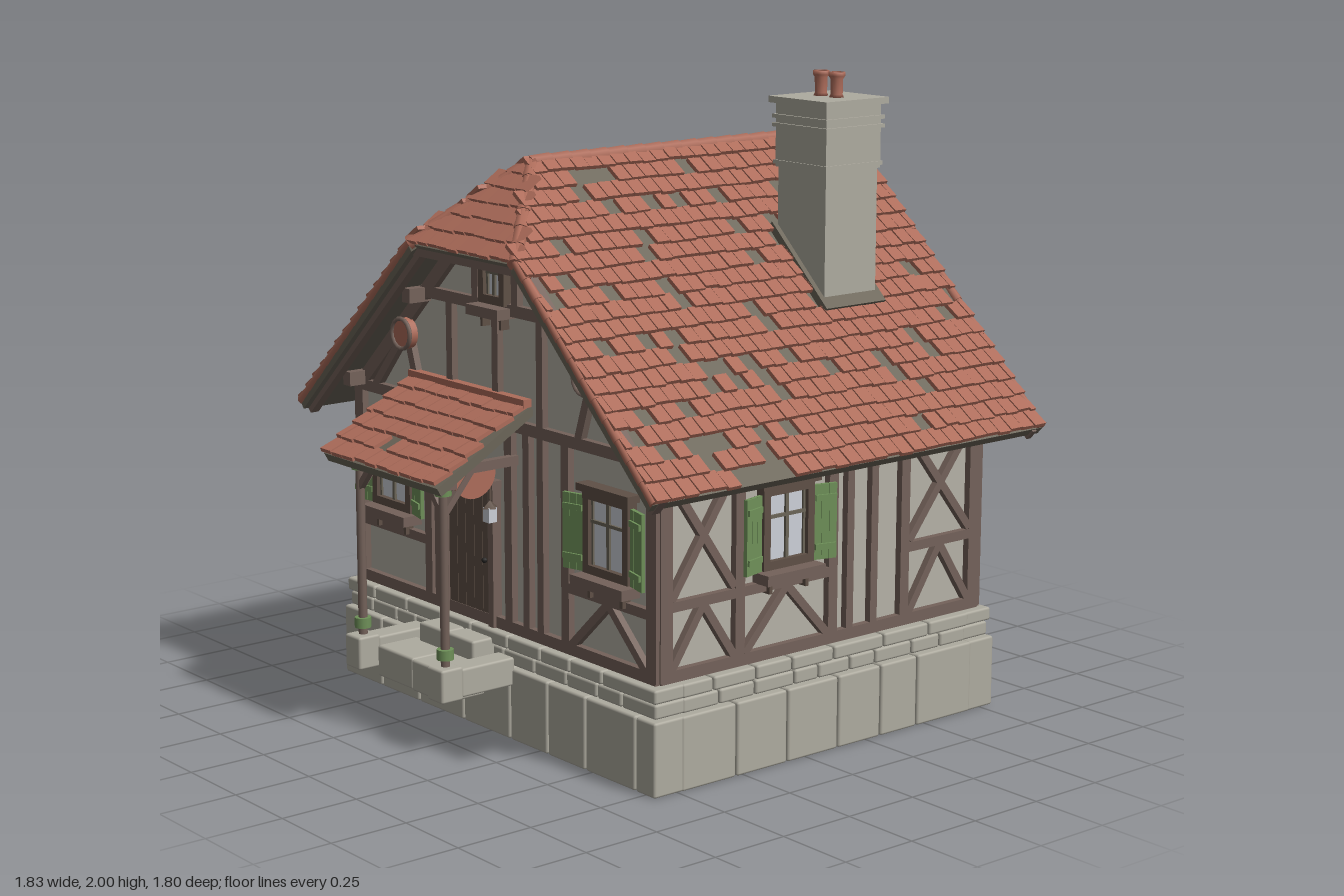
import * as THREE from 'three';
import { mergeGeometries } from 'three/addons/utils/BufferGeometryUtils.js';
import { RoundedBoxGeometry } from 'three/addons/geometries/RoundedBoxGeometry.js';

const paint = (name, color, side = THREE.FrontSide) => {
  const m = new THREE.MeshStandardMaterial({ color, side });
  m.name = name;
  return m;
};
const V = (x, y, z) => new THREE.Vector3(x, y, z);

export function createModel() {
  const tile = paint('clay tile', 0xad6c5a);
  const deckMat = paint('roof boards', 0x6b6558);
  const wood = paint('timber', 0x74625a);
  const darkWood = paint('dark wood', 0x5f5046);
  const plaster = paint('plaster', 0xb5b1a6);
  const stone = paint('stone', 0xaeab9f);
  const glass = paint('glass', 0xcdd0d8);
  const green = paint('green paint', 0x6f9159);
  const black = paint('shadow black', 0x252423, THREE.DoubleSide);

  const house = new THREE.Group();
  house.name = 'cottage';
  let seed = 7;
  const rnd = () => (seed = (seed * 16807) % 2147483647) / 2147483647;

  const add = (parent, name, geo, mat, x = 0, y = 0, z = 0) => {
    const m = new THREE.Mesh(geo, mat);
    m.name = name;
    m.position.set(x, y, z);
    parent.add(m);
    return m;
  };
  const box = (parent, name, mat, w, h, d, x, y, z) =>
    add(parent, name, new THREE.BoxGeometry(w, h, d), mat, x, y, z);
  const group = (parent, name, x = 0, y = 0, z = 0, ry = 0) => {
    const g = new THREE.Group();
    g.name = name;
    g.position.set(x, y, z);
    g.rotation.y = ry;
    parent.add(g);
    return g;
  };
  // Flat beam in a facade plane between two points
  const beam = (parent, name, mat, [x1, y1, x2, y2, w = 0.036], d = 0.034, z = 0.005) => {
    const m = box(parent, name, mat, Math.hypot(x2 - x1, y2 - y1), w, d, (x1 + x2) / 2, (y1 + y2) / 2, z);
    m.rotation.z = Math.atan2(y2 - y1, x2 - x1);
    return m;
  };
  const polygon = pts => new THREE.Shape(pts.map(p => new THREE.Vector2(...p)));
  const extrude = (pts, depth) => new THREE.ExtrudeGeometry(polygon(pts), { depth, bevelEnabled: false });

  // Stone foundation: rings of blocks, hollow underneath
  const ZC = -0.105;
  const course = (y0, y1, hx, hz, depth, size) => {
    const blocks = [];
    const run = (half, place) => {
      const cuts = [-half];
      while (half - cuts.at(-1) > size * 1.6) cuts.push(cuts.at(-1) + size * (0.75 + rnd() * 0.5));
      cuts.push(half);
      for (let i = 1; i < cuts.length; i++) place((cuts[i] + cuts[i - 1]) / 2, cuts[i] - cuts[i - 1] - 0.005);
    };
    const block = (w, d, x, z) => blocks.push(
      new RoundedBoxGeometry(w, y1 - y0 - 0.003, d, 1, 0.008).translate(x, (y0 + y1) / 2, z));
    for (const s of [-1, 1]) {
      run(hx, (c, w) => { const d = depth + rnd() * 0.03; block(w, d, c, ZC + s * (hz - d / 2)); });
      run(hz - depth, (c, w) => { const d = depth + rnd() * 0.03; block(d, w, s * (hx - d / 2), ZC + c); });
    }
    add(house, 'foundationStones', mergeGeometries(blocks), stone);
  };
  course(0, 0.23, 0.8, 0.695, 0.1, 0.2);
  course(0.23, 0.278, 0.785, 0.68, 0.1, 0.13);
  course(0.278, 0.324, 0.792, 0.687, 0.1, 0.17);
  box(house, 'floorUnderside', black, 1.46, 0.006, 1.25, 0, 0.293, ZC);

  // Plastered walls, with the back gable rising to the ridge
  add(house, 'walls', extrude([[-0.745, 0.3], [0.745, 0.3], [0.745, 0.997], [0.159, 1.55], [-0.159, 1.55], [-0.745, 0.997]], 1.28), plaster, 0, 0, -0.745);
  add(house, 'backGableTop', extrude([[-0.159, 1.55], [0.159, 1.55], [0, 1.7]], 0.2), plaster, 0, 0, -0.745);

  // Window with frame, glazing bars, flower box and optional shutters
  const windowUnit = (wall, x, y, w = 0.21, h = 0.25, shutters = true) => {
    const g = group(wall, 'window', x, y, 0);
    box(g, 'glass', glass, w - 0.03, h - 0.03, 0.008, 0, 0, 0.012);
    for (const s of [-1, 1]) {
      box(g, 'windowJamb', darkWood, 0.026, h, 0.04, s * (w / 2 - 0.013), 0, 0.014);
      box(g, 'sashSide', deckMat, 0.008, h - 0.05, 0.012, s * (w / 2 - 0.031), 0, 0.016);
      box(g, 'windowRail', darkWood, w, 0.026, 0.04, 0, s * (h / 2 - 0.013), 0.014);
    }
    box(g, 'mullion', deckMat, 0.012, h - 0.04, 0.014, 0, 0, 0.017);
    box(g, 'glazingBar', deckMat, w - 0.04, 0.01, 0.014, 0, h * 0.13, 0.017);
    box(g, 'windowHood', darkWood, w + 0.03, 0.022, 0.055, 0, h / 2 + 0.008, 0.02);
    box(g, 'flowerBox', wood, w + 0.03, 0.032, 0.07, 0, -h / 2 - 0.02, 0.035);
    for (const s of [-1, 1]) {
      box(g, 'boxBracket', darkWood, 0.012, 0.045, 0.03, s * w * 0.36, -h / 2 - 0.05, 0.02);
      if (!shutters) continue;
      const leaf = group(g, 'shutter', s * (w / 2 + 0.004), -0.01, 0.022, -s * 0.25);
      for (let i = 0; i < 3; i++) box(leaf, 'shutterBoard', green, 0.025, h - 0.02, 0.012, s * (0.013 + i * 0.026), 0, 0);
      for (const k of [-1, 1]) box(leaf, 'shutterBatten', green, 0.07, 0.018, 0.008, s * 0.039, k * h * 0.3, 0.009);
    }
  };

  const timber = (wall, list) => list.forEach(b => beam(wall, 'timber', wood, b));
  const peak = (x1, x2, y1, y2) => [[x1, y1, (x1 + x2) / 2, y2, 0.026], [(x1 + x2) / 2, y2, x2, y1, 0.026]];
  const cross = (x1, x2, y1, y2) => [[x1, y1, x2, y2, 0.026], [x1, y2, x2, y1, 0.026]];
  const post = (x, y1, y2, w) => [x, y1, x, y2, w];
  const rail = (y, x1, x2, w) => [x1, y, x2, y, w];
  const rakes = top => [-1, 1].map(s => [s * 0.74, 0.97, s * (1.67 - top) / 0.944, top, 0.045]);

  // Front timber frame
  const front = group(house, 'frontWall', 0, 0, 0.535);
  timber(front, [rail(0.343, -0.76, 0.76), rail(0.975, -0.76, 0.76), rail(1.325, -0.38, 0.38), ...rakes(1.5),
    post(-0.74, 0.33, 1, 0.045), post(0.74, 0.33, 1, 0.045), post(-0.36, 0.34, 0.97), post(-0.31, 0.34, 0.97, 0.03),
    post(0.06, 0.34, 0.97), post(0.15, 0.34, 0.97, 0.03), post(0.22, 0.34, 0.97, 0.03), post(0.34, 0.34, 0.97),
    post(-0.235, 0.98, 1.32, 0.03), post(0, 0.98, 1.32, 0.03), post(0.22, 0.98, 1.32, 0.03), post(-0.1, 1.32, 1.5, 0.03), post(0.1, 1.32, 1.5, 0.03),
    rail(0.53, 0.34, 0.74, 0.03), rail(0.53, -0.74, -0.36, 0.03), ...peak(0.36, 0.72, 0.35, 0.52),
    [-0.65, 0.98, -0.52, 1.13, 0.028], [0.65, 0.98, 0.52, 1.13, 0.028], [-0.4, 0.98, -0.46, 1.16, 0.03], [0.4, 0.98, 0.46, 1.16, 0.03]]);
  windowUnit(front, -0.548, 0.725);
  windowUnit(front, 0.545, 0.725);
  windowUnit(front, 0, 1.41, 0.13, 0.15, false);
  for (const s of [-1, 1]) {
    const disc = add(front, 'roundOrnament', new THREE.CylinderGeometry(0.05, 0.05, 0.03, 16), tile, s * 0.46, 1.18, 0.03);
    disc.rotation.x = Math.PI / 2;
    add(front, 'ornamentRim', new THREE.TorusGeometry(0.048, 0.007, 6, 16), wood, s * 0.46, 1.18, 0.045);
  }

  // Door
  for (let i = 0; i < 5; i++) box(front, 'doorPlank', darkWood, 0.042, 0.43, 0.016, -0.228 + i * 0.044, 0.545, 0.012);
  for (const x of [-0.262, -0.018]) box(front, 'doorJamb', wood, 0.026, 0.45, 0.04, x, 0.55, 0.012);
  box(front, 'doorLintel', wood, 0.28, 0.026, 0.045, -0.14, 0.775, 0.014);
  add(front, 'doorKnob', new THREE.SphereGeometry(0.009, 8, 6), black, -0.055, 0.53, 0.028);

  // Back timber frame
  const back = group(house, 'backWall', 0, 0, -0.745, Math.PI);
  timber(back, [rail(0.343, -0.76, 0.76), rail(0.975, -0.76, 0.76), rail(1.3, -0.38, 0.38), rail(0.56, -0.74, -0.36, 0.03), rail(0.56, 0.36, 0.74, 0.03),
    ...rakes(1.66), post(-0.74, 0.33, 1, 0.045), post(0.74, 0.33, 1, 0.045), post(-0.36, 0.34, 0.97), post(0.02, 0.34, 0.97), post(0.38, 0.34, 0.97),
    post(-0.24, 0.98, 1.3, 0.03), post(0, 0.98, 1.3, 0.03), post(0.24, 0.98, 1.3, 0.03), post(-0.1, 1.3, 1.55, 0.03), post(0.1, 1.3, 1.55, 0.03),
    [-0.72, 0.58, -0.4, 0.95, 0.028], [0.72, 0.58, 0.4, 0.95, 0.028], ...peak(-0.72, -0.38, 0.35, 0.55), ...peak(0.4, 0.72, 0.35, 0.55)]);
  windowUnit(back, -0.18, 0.74);
  windowUnit(back, 0, 1.42, 0.12, 0.15, false);

  // Side timber frames
  const right = group(house, 'rightWall', 0.745, 0, 0, Math.PI / 2);
  timber(right, [rail(0.343, -0.54, 0.75), rail(0.95, -0.54, 0.75), post(-0.52, 0.33, 0.97, 0.045), post(0.73, 0.33, 0.97, 0.045),
    post(-0.24, 0.34, 0.95), post(0.13, 0.34, 0.95), post(0.2, 0.34, 0.95, 0.028), post(0.3, 0.34, 0.95, 0.028), post(0.43, 0.34, 0.95),
    rail(0.55, -0.52, 0.13, 0.03), rail(0.57, 0.43, 0.73, 0.03), ...cross(-0.5, -0.26, 0.57, 0.92), ...cross(0.45, 0.71, 0.59, 0.92),
    ...peak(-0.5, -0.26, 0.36, 0.54), ...peak(-0.22, 0.11, 0.36, 0.54), ...peak(0.45, 0.71, 0.36, 0.56)]);
  windowUnit(right, -0.06, 0.725, 0.2);
  const left = group(house, 'leftWall', -0.745, 0, 0, -Math.PI / 2);
  timber(left, [rail(0.343, -0.75, 0.54), rail(0.95, -0.75, 0.54), rail(0.55, -0.73, 0.52, 0.03),
    ...[-0.73, -0.5, -0.1, 0.32, 0.52].map(x => post(x, 0.34, 0.95, 0.038)), ...cross(-0.71, -0.52, 0.57, 0.92),
    ...peak(-0.71, -0.52, 0.36, 0.54), ...peak(-0.48, -0.12, 0.36, 0.54), ...peak(-0.08, 0.3, 0.36, 0.54), ...peak(0.34, 0.5, 0.36, 0.54)]);
  windowUnit(left, -0.3, 0.725, 0.2);
  windowUnit(left, 0.11, 0.725, 0.2);

  // Sloped roof plane: board deck plus overlapping rows of tiles
  const roofPlane = (name, origin, u, v, outline, W, rows, cols, keep) => {
    const L = v.length(), up = v.clone().normalize();
    const g = group(house, name);
    g.applyMatrix4(new THREE.Matrix4().makeBasis(u, up, u.clone().cross(up)).setPosition(origin));
    add(g, 'roofDeck', extrude(outline, 0.03), deckMat, 0, 0, -0.035);
    const tiles = [], step = L / rows, w = W / cols;
    for (let r = 0; r < rows; r++) for (let c = 0; c < cols + r % 2; c++) {
      let x0 = (c - (r % 2) / 2) * w, x1 = Math.min(x0 + w, W);
      x0 = Math.max(x0, 0);
      const x = (x0 + x1) / 2, y = (r + 0.5) * step;
      if (!keep(x, y)) continue;
      tiles.push(new THREE.BoxGeometry(x1 - x0 - 0.004, step * 1.08, 0.013).rotateX(-0.17)
        .rotateZ((rnd() - 0.5) * 0.05).translate(x, y + (rnd() - 0.5) * 0.008, 0.005 + rnd() * 0.003));
    }
    add(g, 'roofTiles', mergeGeometries(tiles), tile);
  };
  const W = 1.57, L = Math.hypot(0.9, 0.85), HV = L * 0.694;
  const hipCut = y => Math.max(0, 0.27 * (y - HV) / (L - HV)) - 0.012;
  roofPlane('rightRoof', V(0.9, 0.91, 0.68), V(0, 0, -1), V(-0.9, 0.85, 0),
    [[0, 0], [W, 0], [W, L], [0.27, L], [0, HV]], W, 20, 30, (x, y) => x > hipCut(y) && rnd() > 0.13);
  roofPlane('leftRoof', V(-0.9, 0.91, -0.89), V(0, 0, 1), V(0.9, 0.85, 0),
    [[0, 0], [W, 0], [W, HV], [W - 0.27, L], [0, L]], W, 20, 30, (x, y) => W - x > hipCut(y) && rnd() > 0.012);
  const HL = Math.hypot(0.26, 0.27);
  roofPlane('frontHip', V(-0.26, 1.5, 0.68), V(1, 0, 0), V(0, 0.26, -0.27),
    [[0, 0], [0.52, 0], [0.26, HL]], 0.52, 6, 10, (x, y) => Math.abs(x - 0.26) < 0.26 * (1 - y / HL) + 0.015);

  // Rounded cap tiles along ridge, hips and verges
  const caps = (name, a, b, r, n) => {
    const dir = b.clone().sub(a), len = dir.length() / n;
    const geo = mergeGeometries(Array.from({ length: n }, (_, i) =>
      new THREE.CylinderGeometry(r * 0.85, r, len * 1.06, 8).translate(0, (i + 0.5) * len, 0)));
    add(house, name, geo, tile, a.x, a.y, a.z).quaternion.setFromUnitVectors(V(0, 1, 0), dir.normalize());
  };
  caps('ridgeCaps', V(0, 1.748, -0.88), V(0, 1.748, 0.42), 0.027, 18);
  for (const s of [-1, 1]) {
    caps('hipCaps', V(s * 0.265, 1.5, 0.675), V(0, 1.75, 0.41), 0.024, 6);
    caps('frontVergeCaps', V(s * 0.895, 0.91, 0.672), V(s * 0.26, 1.51, 0.672), 0.016, 12);
    caps('backVergeCaps', V(s * 0.895, 0.91, -0.88), V(0, 1.755, -0.88), 0.016, 17);
    // Barge boards; the back pair crosses above the ridge
    beam(house, 'frontBargeBoard', wood, [s * 0.885, 0.89, s * 0.25, 1.485, 0.055], 0.03, 0.645);
    beam(house, 'backBargeBoard', wood, [s * 0.885, 0.885, s * -0.14, 1.84, 0.038], 0.018, -0.862 + s * 0.008);
    for (const [x, y] of [[0.72, 1], [0.38, 1.315]])
      box(house, 'purlin', wood, 0.04, 0.045, 1.45, s * x, y, -0.11);
  }
  box(house, 'hipBeam', wood, 0.53, 0.035, 0.04, 0, 1.478, 0.645);
  box(house, 'hipSoffit', wood, 0.46, 0.012, 0.13, 0, 1.49, 0.59);
  add(house, 'hipVent', new THREE.ConeGeometry(0.03, 0.05, 4), black, 0, 1.685, 0.475);

  // Chimney
  const CX = 0.385, CZ = -0.442;
  box(house, 'chimneyShaft', stone, 0.215, 0.62, 0.215, CX, 1.41, CZ);
  box(house, 'chimneyHead', stone, 0.228, 0.21, 0.228, CX, 1.81, CZ);
  for (const [y, w] of [[1.72, 0.238], [1.835, 0.245], [1.862, 0.245]]) box(house, 'chimneyBand', stone, w, 0.012, w, CX, y, CZ);
  box(house, 'chimneyCap', stone, 0.262, 0.02, 0.262, CX, 1.913, CZ);
  const flash = group(house, 'chimneyFlashing', CX, 1.401, CZ);
  flash.rotation.z = -Math.atan2(0.85, 0.9);
  box(flash, 'flashingPlate', deckMat, 0.35, 0.034, 0.25, 0, 0, 0);
  const potProfile = [[0, 0], [0.024, 0], [0.019, 0.012], [0.02, 0.06], [0.026, 0.068], [0.026, 0.08], [0.016, 0.08], [0.014, 0.03], [0, 0.03]];
  for (const dx of [-0.035, 0.035])
    add(house, 'chimneyPot', new THREE.LatheGeometry(potProfile.map(p => new THREE.Vector2(...p)), 14), tile, CX + dx, 1.92, CZ);

  // Porch canopy, posts and braces
  const AL = Math.hypot(0.2, 0.345);
  roofPlane('porchRoof', V(-0.44, 0.85, 0.89), V(1, 0, 0), V(0, 0.2, -0.345),
    [[0, 0], [0.6, 0], [0.6, AL], [0, AL]], 0.6, 6, 10, () => rnd() > 0.03);
  box(house, 'porchFrontBeam', wood, 0.54, 0.035, 0.03, -0.14, 0.842, 0.81);
  box(house, 'porchTopTrim', tile, 0.6, 0.025, 0.03, -0.14, 1.055, 0.555);
  for (const [x, s] of [[-0.36, 1], [0.08, -1]]) {
    add(house, 'porchPost', new THREE.CylinderGeometry(0.014, 0.014, 0.58, 10), wood, x, 0.55, 0.81);
    for (const y of [0.31, 0.815]) add(house, 'postCollar', new THREE.CylinderGeometry(0.026, 0.026, 0.032, 12), green, x, y, 0.81);
    box(house, 'porchSideBeam', wood, 0.026, 0.03, 0.28, x, 0.868, 0.68);
    beam(house, 'porchBrace', wood, [x, 0.74, x + s * 0.08, 0.835, 0.02], 0.02, 0.81);
    const side = group(house, 'sideBrace', x, 0, 0.81, Math.PI / 2);
    beam(side, 'porchBrace', wood, [0, 0.74, 0.1, 0.86, 0.02], 0.02, 0);
    add(house, 'postFoot', new RoundedBoxGeometry(0.08, 0.105, 0.08, 1, 0.008), stone, x, 0.22, 0.812);
  }
  const sign = group(house, 'hangingSign', 0.08, 0.852, 0.7, Math.PI / 2);
  add(sign, 'signBoard', new THREE.CylinderGeometry(0.08, 0.08, 0.012, 16, 1, false, -Math.PI / 2, Math.PI), tile).rotation.x = Math.PI / 2;
  // Lantern beside the door
  box(house, 'lanternGlass', glass, 0.03, 0.045, 0.03, 0.055, 0.705, 0.62);
  add(house, 'lanternRoof', new THREE.ConeGeometry(0.027, 0.025, 4), darkWood, 0.055, 0.738, 0.62);
  box(house, 'lanternHook', darkWood, 0.006, 0.1, 0.006, 0.055, 0.8, 0.62);

  // Entrance steps
  for (const [w, h, d, x, y, z] of [[0.19, 0.1, 0.15, -0.225, 0.19, 0.71], [0.175, 0.1, 0.15, -0.04, 0.19, 0.715],
    [0.14, 0.11, 0.09, -0.21, 0.245, 0.61], [0.14, 0.11, 0.09, -0.065, 0.245, 0.61], [0.08, 0.09, 0.2, -0.36, 0.22, 0.68], [0.08, 0.09, 0.2, 0.08, 0.22, 0.68]])
    add(house, 'stepStone', new RoundedBoxGeometry(w, h, d, 1, 0.008), stone, x, y, z);

  return house;
}
